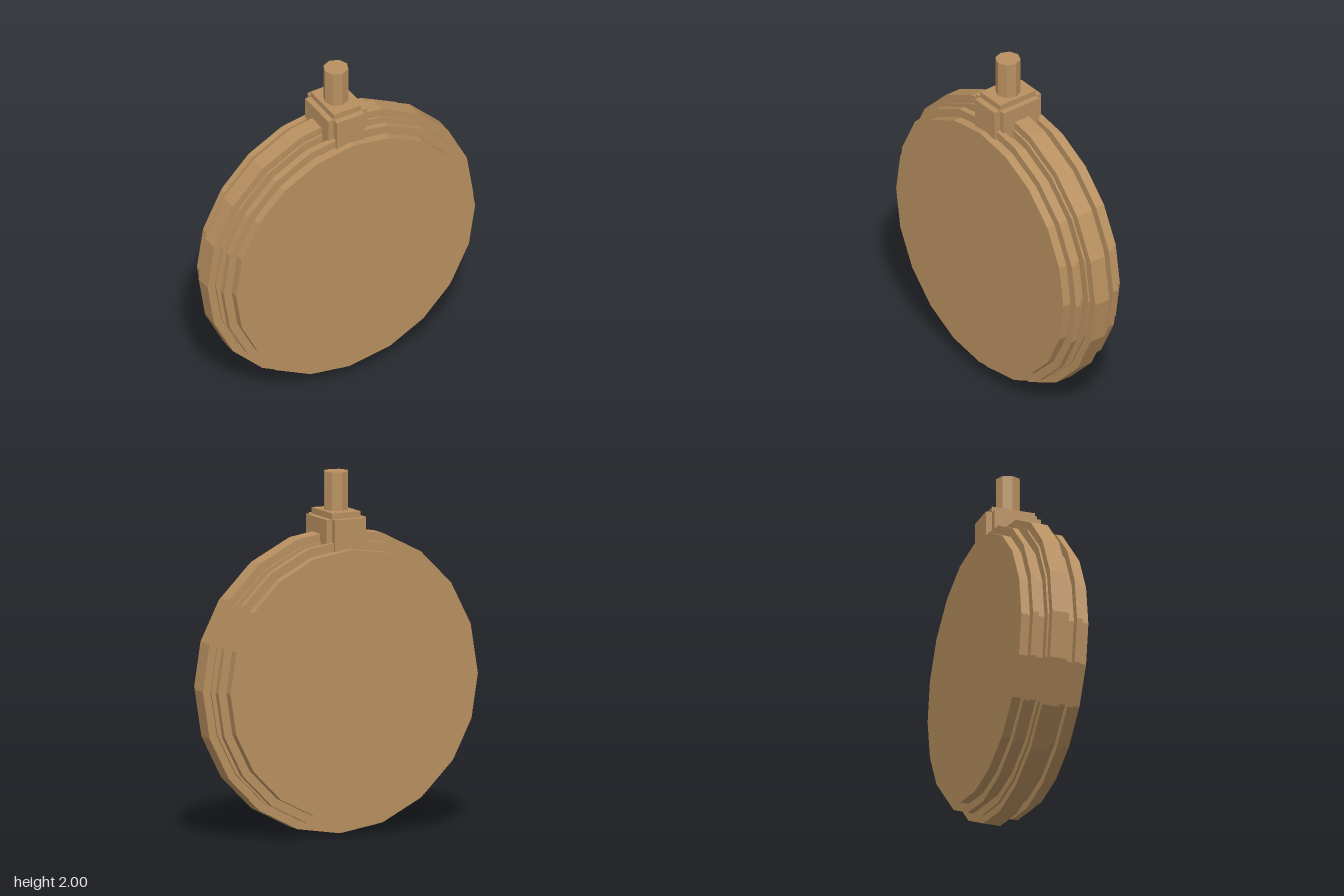
import * as THREE from 'three';

const CENTRE_Y = 0.843;

export function createModel() {
  const group = new THREE.Group();
  const material = new THREE.MeshStandardMaterial({ color: 0xb89060, flatShading: true });

  function add(name, geometry, x, y, z) {
    const mesh = new THREE.Mesh(geometry, material);
    mesh.name = name;
    mesh.position.set(x, y, z);
    group.add(mesh);
  }

  // Upright 20-sided disc with a corner pointing straight down
  function disc(name, radius, depth, z = 0) {
    const geometry = new THREE.CylinderGeometry(radius, radius, depth, 20);
    geometry.rotateX(Math.PI / 2);
    add(name, geometry, 0, CENTRE_Y, z);
  }

  // Box given by its half width, half depth, bottom and top
  function block(name, halfX, halfZ, bottom, top) {
    add(name, new THREE.BoxGeometry(2 * halfX, top - bottom, 2 * halfZ), 0, (bottom + top) / 2, 0);
  }

  // Drum with a stepped middle rim and a thin band near each face
  disc('drum', 0.748, 0.39);
  disc('innerRim', 0.797, 0.12);
  disc('outerRim', 0.843, 0.098);
  disc('frontBand', 0.797, 0.034, 0.128);
  disc('backBand', 0.797, 0.034, -0.128);

  // Cross-shaped neck with a raised cap
  block('neckWide', 0.122, 0.124, 1.5, 1.753);
  block('neckDeep', 0.088, 0.16, 1.5, 1.753);
  block('neckCap', 0.088, 0.124, 1.5, 1.787);

  // Octagonal stem
  add('stem', new THREE.CylinderGeometry(0.07, 0.07, 0.25, 8), 0, 1.875, 0);

  return group;
}
